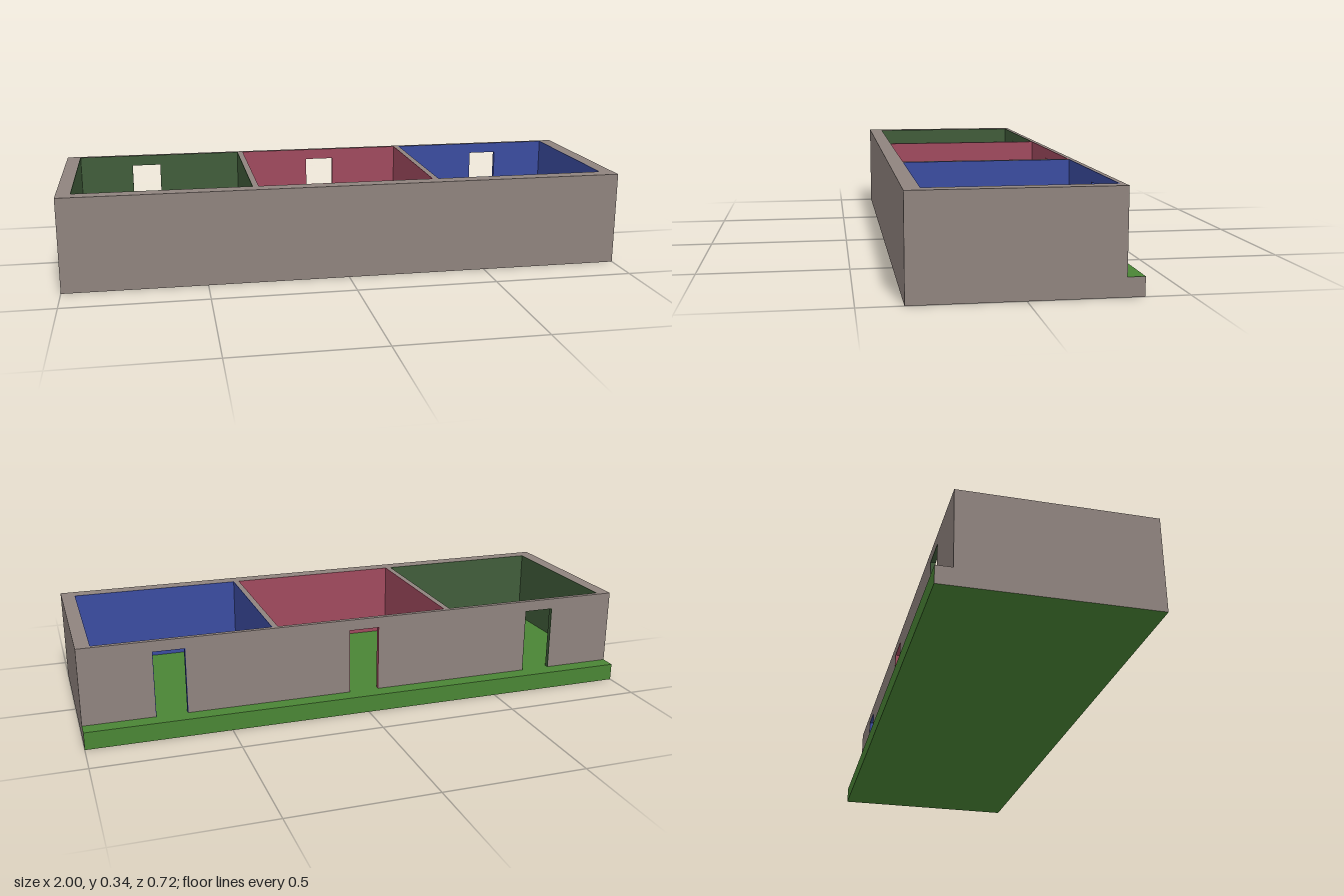
import * as THREE from 'three';

const BASE = 0.062, TOP = 0.335;            // floor level, wall top
const BACK = -0.302, IN_BACK = -0.285;      // back wall outer and inner faces
const FRONT = 0.358, IN_FRONT = 0.305;      // front wall outer and inner faces
const SLAB_BACK = -0.358;
const DOOR_W = 0.108, DOOR_TOP = 0.296;
const T = 0.002;                            // thickness of the painted lining

const paint = (color) => new THREE.MeshStandardMaterial({ color, flatShading: true });
const stone = paint(0x8f837e);
const grass = paint(0x4a8535);

const rooms = [
  { name: 'green', x0: -0.95, x1: -0.335, door: -0.697, mat: paint(0x405c3a) },
  { name: 'red', x0: -0.313, x1: 0.313, door: 0, mat: paint(0xa04a5e) },
  { name: 'blue', x0: 0.335, x1: 0.95, door: 0.697, mat: paint(0x3b4ca0) },
];

export function createModel() {
  const model = new THREE.Group();

  const add = (parent, name, geometry, material) => {
    const mesh = new THREE.Mesh(geometry, material);
    mesh.name = name;
    parent.add(mesh);
    return mesh;
  };

  // Box given by its limits on each axis
  const block = (parent, name, x0, x1, y0, y1, z0, z1, material) =>
    add(parent, name, new THREE.BoxGeometry(x1 - x0, y1 - y0, z1 - z0), material)
      .position.set((x0 + x1) / 2, (y0 + y1) / 2, (z0 + z1) / 2);

  // Upright panel with doorways notched up from the floor
  const notchedPanel = (parent, name, x0, x1, doors, width, doorTop, z0, z1, material) => {
    const s = new THREE.Shape();
    s.moveTo(x0, BASE);
    for (const d of doors) {
      s.lineTo(d - width / 2, BASE);
      s.lineTo(d - width / 2, doorTop);
      s.lineTo(d + width / 2, doorTop);
      s.lineTo(d + width / 2, BASE);
    }
    s.lineTo(x1, BASE);
    s.lineTo(x1, TOP);
    s.lineTo(x0, TOP);
    s.closePath();
    const g = new THREE.ExtrudeGeometry(s, { depth: z1 - z0, bevelEnabled: false });
    add(parent, name, g, material).position.z = z0;
  };

  // Slab: grass above, below and behind, stone on the other sides
  block(model, 'floorSlab', -1, 1, 0, BASE, SLAB_BACK, FRONT,
    [stone, stone, grass, grass, stone, grass]);

  // Front and side walls as one U-shaped plan
  const plan = new THREE.Shape();
  const inner = 0.95 + T;
  [[-1, -FRONT], [1, -FRONT], [1, -BACK], [inner, -BACK], [inner, -IN_FRONT - T],
    [-inner, -IN_FRONT - T], [-inner, -BACK], [-1, -BACK]]
    .forEach(([x, y], i) => (i ? plan.lineTo(x, y) : plan.moveTo(x, y)));
  plan.closePath();
  const shell = new THREE.ExtrudeGeometry(plan, { depth: TOP - BASE, bevelEnabled: false });
  shell.rotateX(-Math.PI / 2);
  add(model, 'frontAndSideWalls', shell, stone).position.y = BASE;

  // Back wall with three doorways
  notchedPanel(model, 'backWall', -inner, inner, rooms.map((r) => r.door),
    DOOR_W + 2 * T, DOOR_TOP + T, BACK, IN_BACK - T, stone);

  // Partitions between neighbouring rooms
  for (let i = 0; i < 2; i++) {
    block(model, 'partition', rooms[i].x1 + T, rooms[i + 1].x0 - T, BASE, TOP,
      IN_BACK - T, IN_FRONT + T, stone);
  }

  // Painted lining and door frame of every room
  for (const { name, x0, x1, door, mat } of rooms) {
    const room = new THREE.Group();
    room.name = name + 'Room';
    model.add(room);
    block(room, 'rightLining', x0 - T, x0, BASE, TOP, IN_BACK, IN_FRONT, mat);
    block(room, 'leftLining', x1, x1 + T, BASE, TOP, IN_BACK, IN_FRONT, mat);
    block(room, 'frontLining', x0 - T, x1 + T, BASE, TOP, IN_FRONT, IN_FRONT + T, mat);
    notchedPanel(room, 'backLining', x0 - T, x1 + T, [door], DOOR_W, DOOR_TOP,
      IN_BACK - T, IN_BACK, mat);
    const h = DOOR_W / 2;
    block(room, 'doorJamb', door - h - T, door - h, BASE, DOOR_TOP, BACK, IN_BACK - T, mat);
    block(room, 'doorJamb', door + h, door + h + T, BASE, DOOR_TOP, BACK, IN_BACK - T, mat);
    block(room, 'doorHead', door - h - T, door + h + T, DOOR_TOP, DOOR_TOP + T,
      BACK, IN_BACK - T, mat);
  }

  return model;
}
